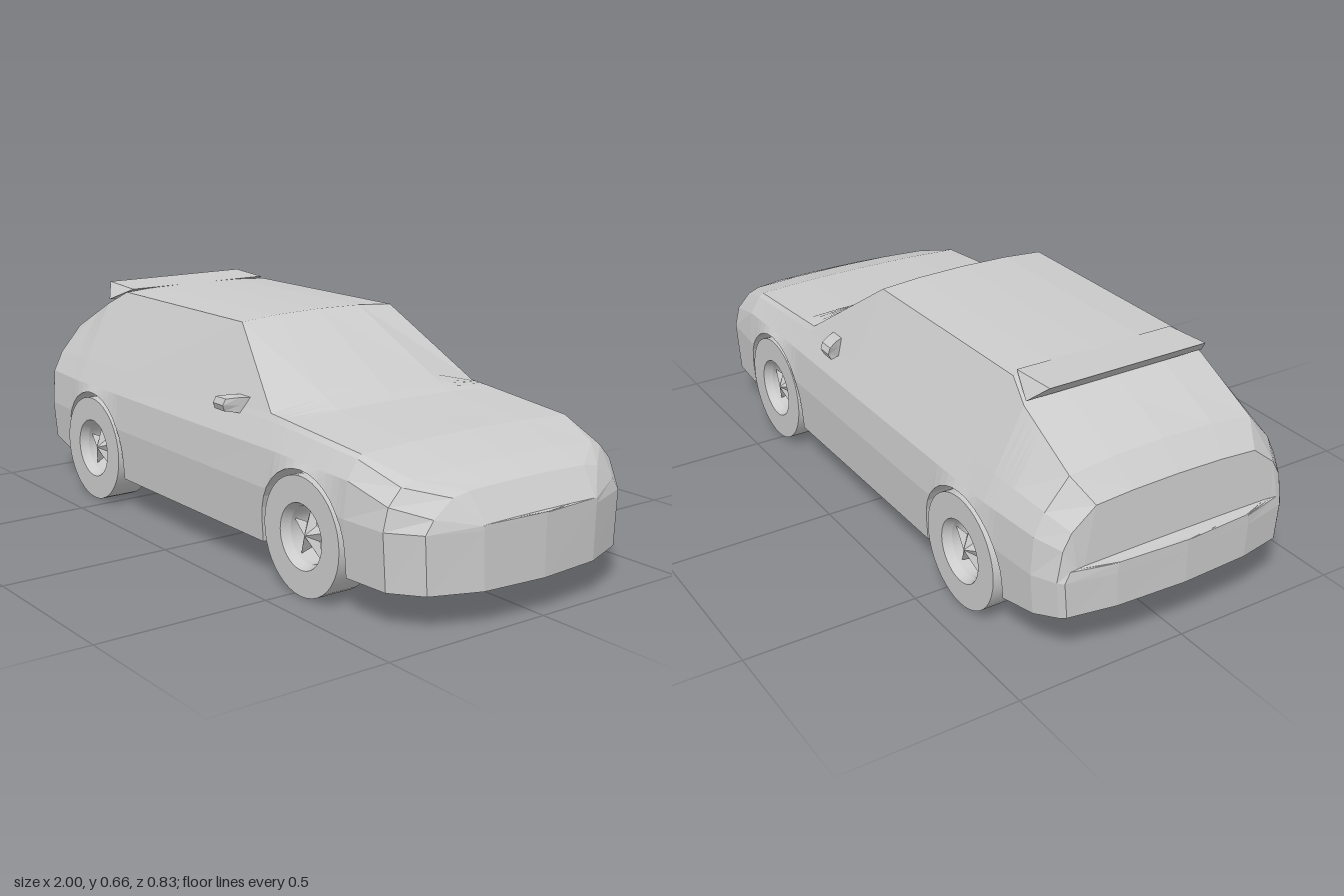
import * as THREE from 'three';

const grey = new THREE.MeshStandardMaterial({ color: 0xcccccc, flatShading: true });
const smooth = new THREE.MeshStandardMaterial({ color: 0xcccccc });
const AXLES = [-0.58, 0.53], AXLE_Y = 0.163, ARCH_R = 0.178, WELL_Z = 0.285;

// body stations, back to front:
// x, centre top y, top edge z/y, belt z/y, waist z/y, widest z
const STATIONS = [
  [-0.988, 0.287, 0.2, 0.286, 0.202, 0.284, 0.205, 0.282, 0.21],
  [-0.958, 0.29, 0.29, 0.288, 0.31, 0.286, 0.33, 0.284, 0.345],
  [-0.945, 0.45, 0.25, 0.44, 0.32, 0.385, 0.345, 0.34, 0.36],
  [-0.88, 0.52, 0.285, 0.5, 0.355, 0.42, 0.385, 0.36, 0.393],
  [-0.68, 0.613, 0.283, 0.6, 0.367, 0.43, 0.4, 0.36, 0.408],
  [-0.6, 0.653, 0.262, 0.643, 0.367, 0.43, 0.4, 0.36, 0.41],
  [0.06, 0.653, 0.268, 0.641, 0.368, 0.43, 0.402, 0.36, 0.412],
  [0.33, 0.494, 0.36, 0.443, 0.37, 0.425, 0.402, 0.36, 0.413],
  [0.41, 0.445, 0.36, 0.437, 0.37, 0.422, 0.402, 0.36, 0.413],
  [0.71, 0.422, 0.355, 0.412, 0.368, 0.402, 0.4, 0.352, 0.411],
  [0.85, 0.381, 0.31, 0.371, 0.345, 0.358, 0.385, 0.315, 0.4],
  [0.93, 0.347, 0.2, 0.343, 0.25, 0.334, 0.31, 0.29, 0.335],
  [0.984, 0.272, 0.19, 0.27, 0.192, 0.269, 0.194, 0.268, 0.195],
];

// Both ends close on an upright ridge in the middle of the bumper
const ridge = (row, x) => row.map((v, k) => (k === 0 ? x : k % 2 === 0 ? 0 : v));
STATIONS.unshift(ridge(STATIONS[0], -1));
STATIONS.push(ridge(STATIONS[STATIONS.length - 1], 1));

function stationAt(x) {
  let i = 0;
  while (i < STATIONS.length - 2 && x > STATIONS[i + 1][0]) i++;
  const a = STATIONS[i], b = STATIONS[i + 1], t = (x - a[0]) / (b[0] - a[0]);
  return a.map((v, k) => v + (b[k] - v) * t);
}

// Closed cross-section at x; the lower edge rises over the wheels
function sectionAt(x) {
  const [, top, ez, ey, bz, by, wz, wy, mz] = stationAt(x);
  const base = 0.1 + 0.19 * Math.max(0, -0.68 - x);
  let low = base;
  for (const c of AXLES) {
    const d = ARCH_R ** 2 - (x - c) ** 2;
    if (d > -1e-7) low = AXLE_Y + Math.sqrt(Math.max(0, d));
  }
  const midY = Math.min(wy - 0.005, Math.max(0.255, low));
  const lowZ = THREE.MathUtils.lerp(mz * 0.975, mz, Math.min(1, (low - base) / (0.255 - base)));
  const inner = Math.min(WELL_Z, lowZ);
  const half = [
    [top, 0], [top * 0.75 + ey * 0.25, ez * 0.55], [ey, ez], [by, bz], [wy, wz],
    [midY, mz], [low, lowZ], [low, inner], [base, inner], [base, 0],
  ];
  const mirrored = half.slice(1, -1).reverse().map(([y, z]) => [y, -z]);
  return [...half, ...mirrored].map(([y, z]) => [x, y, z]);
}

function createBody() {
  const xs = STATIONS.map((s) => s[0]);
  for (const c of AXLES) {
    xs.push(c - ARCH_R - 0.001, c + ARCH_R + 0.001);
    for (let k = 0; k <= 16; k++) xs.push(c + ARCH_R * Math.cos((k * Math.PI) / 16));
  }
  xs.sort((a, b) => a - b);
  const rings = xs.map(sectionAt), n = rings[0].length, pos = [], index = [];
  rings.forEach((ring, i) => {
    ring.forEach((p) => pos.push(...p));
    if (i === rings.length - 1) return;
    for (let j = 0; j < n; j++) {
      const a = i * n + j, b = i * n + ((j + 1) % n);
      index.push(a, b, a + n, b, b + n, a + n);
    }
  });
  const geo = new THREE.BufferGeometry();
  geo.setAttribute('position', new THREE.Float32BufferAttribute(pos, 3));
  geo.setIndex(index);
  return named('body', flat(geo), grey);
}

function flat(geo) {
  const g = geo.index ? geo.toNonIndexed() : geo;
  g.computeVertexNormals();
  return g;
}

function named(name, geo, material) {
  const mesh = new THREE.Mesh(geo, material);
  mesh.name = name;
  return mesh;
}

// Moves every vertex by a rule
function bend(geo, rule) {
  const p = geo.attributes.position, v = new THREE.Vector3();
  for (let i = 0; i < p.count; i++) {
    rule(v.fromBufferAttribute(p, i));
    p.setXYZ(i, v.x, v.y, v.z);
  }
  return flat(geo);
}

// Wheel facing +z: open tyre ring, sloped rim and star-shaped spokes
function createWheel(name) {
  const wheel = new THREE.Group();
  wheel.name = name;
  const addRing = (part, r0, z0, r1, z1) => {
    const profile = [new THREE.Vector2(r0, z0), new THREE.Vector2(r1, z1)];
    wheel.add(named(part, new THREE.LatheGeometry(profile, 40).rotateX(Math.PI / 2), smooth));
  };
  addRing('tyreBack', 0.078, -0.055, 0.162, -0.055);
  addRing('tyreTread', 0.162, -0.055, 0.162, 0.055);
  addRing('tyreFront', 0.162, 0.055, 0.09, 0.055);
  addRing('rim', 0.09, 0.055, 0.078, 0.03);
  addRing('rimBarrel', 0.078, 0.03, 0.078, -0.055);

  const star = bend(new THREE.ConeGeometry(1, 0.025, 10, 1).rotateX(Math.PI / 2), (v) => {
    const r = Math.hypot(v.x, v.y);
    if (r < 0.5) return;
    const tip = Math.cos(5 * (Math.atan2(v.y, v.x) - Math.PI / 2)) > 0;
    const k = (tip ? 0.082 : 0.036) / r;
    v.x *= k;
    v.y *= k;
  });
  const spokes = named('starSpokes', star, grey);
  spokes.position.z = 0.03;
  wheel.add(spokes);
  return wheel;
}

// Wedge at the back of the roof, wider along its lower edge
function createSpoiler() {
  const side = [[-0.735, 0.66], [-0.683, 0.612], [-0.59, 0.652]];
  const shape = new THREE.Shape(side.map(([x, y]) => new THREE.Vector2(x, y)));
  const geo = new THREE.ExtrudeGeometry(shape, { depth: 0.49, bevelEnabled: false }).translate(0, 0, -0.245);
  return named('roofSpoiler', bend(geo, (v) => { if (v.y < 0.62) v.z *= 1.14; }), grey);
}

// Door mirror on the +z side, tapering outward and swept back
function createMirror() {
  const geo = bend(new THREE.BoxGeometry(0.07, 0.044, 0.08, 1, 2, 2), (v) => {
    const out = v.z / 0.04;
    v.x = v.x * 0.7 - out * 0.022 + v.y * 0.15;
    if (out > 0.5) {
      if (Math.abs(v.y) > 0.01) v.z -= 0.008;
      v.y *= 0.8;
    }
  });
  const mirror = named('doorMirror', geo, grey);
  mirror.position.set(0.177, 0.443, 0.375);
  return mirror;
}

export function createModel() {
  const car = new THREE.Group();
  car.name = 'car';
  car.add(createBody(), createSpoiler());

  // Wheels and mirrors on both sides
  for (const side of [1, -1]) {
    for (const x of AXLES) {
      const wheel = createWheel(x > 0 ? 'frontWheel' : 'rearWheel');
      wheel.position.set(x, 0.162, side * 0.355);
      if (side < 0) wheel.rotation.y = Math.PI;
      car.add(wheel);
    }
    const mirror = createMirror();
    mirror.scale.z = side;
    mirror.position.z *= side;
    car.add(mirror);
  }
  return car;
}
